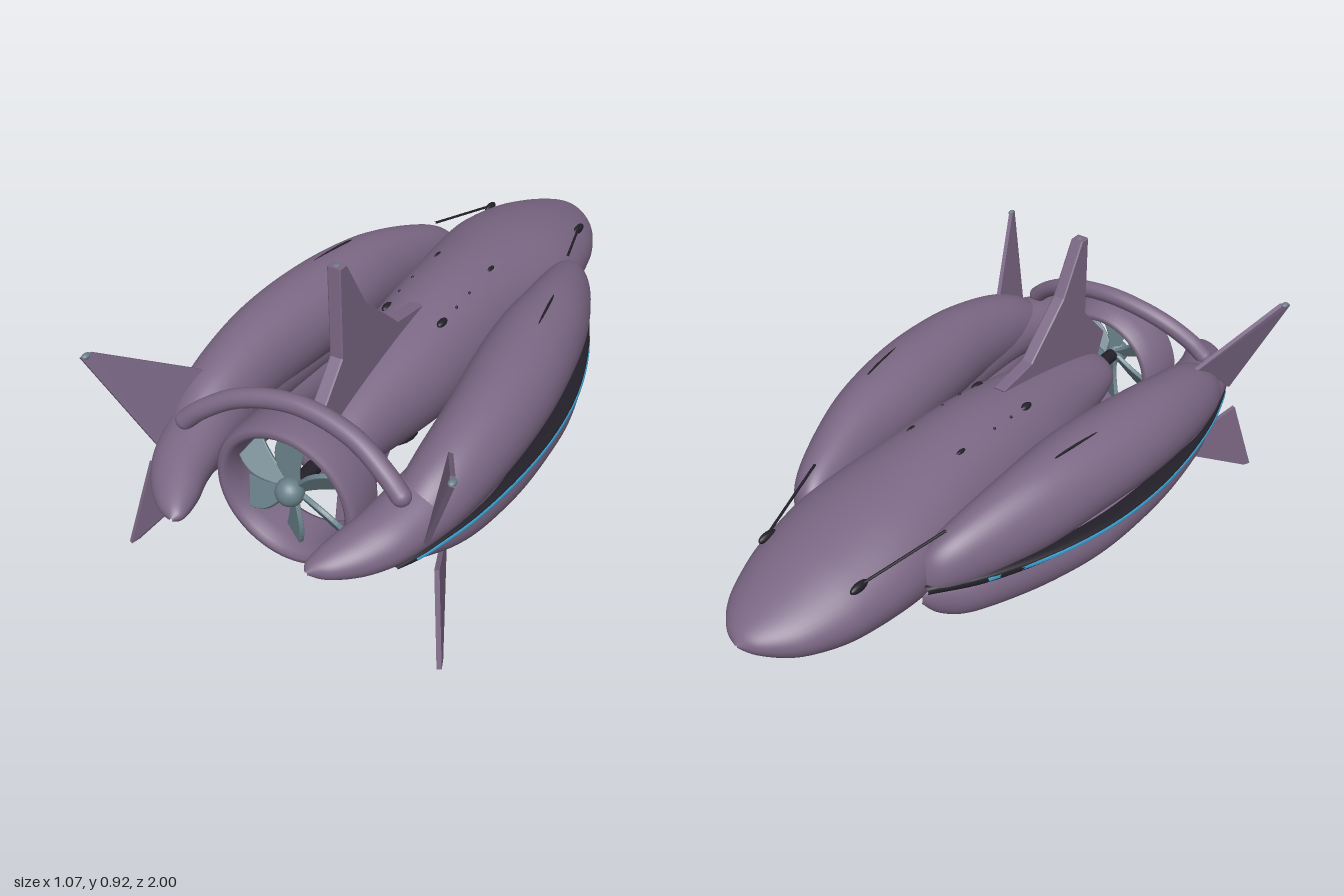
import * as THREE from 'three';
import { ConvexGeometry } from 'three/addons/geometries/ConvexGeometry.js';

const mat = (name, color) => {
  const m = new THREE.MeshStandardMaterial({ color });
  m.name = name;
  return m;
};
const V = (x, y, z) => new THREE.Vector3(x, y, z);

// Smooth body through sections [z, centreX, centreY, radiusX, radiusY]; power below 1 squares them off
function loft(sections, rings = 64, sides = 40, power = 1) {
  const mid = new THREE.CatmullRomCurve3(sections.map(s => V(s[1], s[2], s[0])));
  const rad = new THREE.CatmullRomCurve3(sections.map(s => V(s[3], s[4], s[0])));
  mid.curveType = rad.curveType = 'catmullrom';
  const bend = v => Math.sign(v) * Math.abs(v) ** power;
  const pos = [], index = [];
  for (let i = 0; i <= rings; i++) {
    const c = mid.getPoint(i / rings), r = rad.getPoint(i / rings);
    for (let j = 0; j < sides; j++) {
      const a = j / sides * Math.PI * 2;
      pos.push(c.x + Math.max(r.x, 0.001) * bend(Math.cos(a)), c.y + Math.max(r.y, 0.001) * bend(Math.sin(a)), c.z);
      if (i === rings) continue;
      const k = (j + 1) % sides, p = i * sides, q = p + sides;
      index.push(p + j, p + k, q + j, p + k, q + k, q + j);
    }
  }
  const g = new THREE.BufferGeometry();
  g.setAttribute('position', new THREE.Float32BufferAttribute(pos, 3));
  g.setIndex(index);
  g.computeVertexNormals();
  return g;
}

// Flat plate through coplanar corners, with thickness
function plate(corners, t) {
  const n = corners[1].clone().sub(corners[0]).cross(corners[2].clone().sub(corners[0])).setLength(t / 2);
  return new ConvexGeometry(corners.flatMap(c => [c.clone().add(n), c.clone().sub(n)]));
}

export function createModel() {
  const root = new THREE.Group();
  const skin = mat('mauve skin', 0x7b6784);
  const steel = mat('grey steel', 0x687f88);
  const dark = mat('dark trim', 0x221f28);
  const glass = mat('blue glass', 0x3a9fd0);
  const add = (name, geo, m) => {
    const mesh = new THREE.Mesh(geo, m);
    mesh.name = name;
    root.add(mesh);
    return mesh;
  };
  const blob = (name, m, x, y, z, rx, ry, rz) => {
    const b = add(name, new THREE.SphereGeometry(1, 20, 14), m);
    b.position.set(x, y, z);
    b.scale.set(rx, ry, rz);
    return b;
  };

  // Central hull: z, half width, top, bottom
  const hull = [
    [-1, 0.003, 0.403, 0.397], [-0.97, 0.066, 0.434, 0.362], [-0.9, 0.135, 0.466, 0.317],
    [-0.8, 0.185, 0.502, 0.28], [-0.7, 0.213, 0.532, 0.26], [-0.55, 0.232, 0.564, 0.242],
    [-0.4, 0.225, 0.583, 0.225], [-0.2, 0.2, 0.597, 0.215], [0, 0.185, 0.595, 0.217],
    [0.2, 0.165, 0.57, 0.235], [0.4, 0.128, 0.53, 0.265], [0.55, 0.103, 0.49, 0.3],
    [0.62, 0.08, 0.455, 0.33], [0.65, 0.04, 0.42, 0.36], [0.655, 0.003, 0.392, 0.388]];
  add('hull', loft(hull.map(([z, w, t, b]) => [z, 0, (t + b) / 2, w, (t - b) / 2]), 90, 48), skin);

  // Side pods made of three merged lobes
  const lobes = {
    upperLobe: [[-0.54, 0.21, 0.39, 0.005, 0.015], [-0.5, 0.23, 0.42, 0.05, 0.065], [-0.4, 0.26, 0.44, 0.08, 0.1],
      [-0.2, 0.305, 0.465, 0.11, 0.13], [0, 0.33, 0.48, 0.13, 0.135], [0.2, 0.352, 0.478, 0.132, 0.135],
      [0.4, 0.365, 0.465, 0.118, 0.13], [0.6, 0.36, 0.44, 0.1, 0.11], [0.72, 0.345, 0.41, 0.075, 0.08],
      [0.82, 0.33, 0.38, 0.02, 0.02]],
    lowerLobe: [[-0.53, 0.21, 0.33, 0.005, 0.015], [-0.48, 0.225, 0.315, 0.045, 0.06], [-0.4, 0.255, 0.31, 0.075, 0.085],
      [-0.2, 0.305, 0.31, 0.105, 0.11], [0, 0.335, 0.305, 0.125, 0.115], [0.2, 0.352, 0.305, 0.122, 0.115],
      [0.4, 0.36, 0.31, 0.11, 0.105], [0.6, 0.355, 0.325, 0.09, 0.085], [0.75, 0.34, 0.345, 0.05, 0.05],
      [0.84, 0.33, 0.36, 0.01, 0.01]],
    tailLobe: [[-0.5, 0.22, 0.38, 0.015, 0.02], [-0.25, 0.28, 0.383, 0.07, 0.05], [0, 0.32, 0.385, 0.09, 0.07],
      [0.4, 0.355, 0.4, 0.1, 0.1], [0.6, 0.35, 0.41, 0.1, 0.1], [0.8, 0.31, 0.4, 0.09, 0.072],
      [0.9, 0.267, 0.39, 0.077, 0.053], [0.97, 0.225, 0.385, 0.045, 0.028], [1, 0.2, 0.385, 0.004, 0.004]],
  };
  // Outer edge of the window gallery: z, x, y, half height
  const edge = [[-0.54, 0.245, 0.38, 0.016], [-0.4, 0.338, 0.376, 0.018], [-0.2, 0.422, 0.37, 0.017],
    [0, 0.474, 0.366, 0.016], [0.2, 0.494, 0.363, 0.016], [0.4, 0.487, 0.361, 0.016], [0.6, 0.458, 0.36, 0.015],
    [0.75, 0.417, 0.36, 0.013], [0.81, 0.395, 0.36, 0.011], [0.86, 0.37, 0.36, 0.006]];

  for (const s of [1, -1]) {
    const side = s > 0 ? 'left' : 'right';
    const flip = list => list.map(([z, x, ...r]) => [z, x * s, ...r]);
    for (const [name, list] of Object.entries(lobes)) add(side + name, loft(flip(list)), skin);

    // Window gallery: dark frame and blue glazing
    add(side + 'GalleryFrame', loft(flip(edge.map(([z, x, y, h]) => [z, x - 0.042, y, 0.042, h])), 64, 24, 0.7), dark);
    add(side + 'GalleryGlass', loft(flip(edge.slice(1, 9).map(([z, x, y, h]) =>
      [z, x - 0.037, y, 0.039, h * 0.5])), 64, 24, 0.4), glass);

    // Diagonal tail fins with tip lamps
    add(side + 'UpperFin', plate([V(s * 0.36, 0.52, 0.57), V(s * 0.41, 0.4, 0.79),
      V(s * 0.53, 0.70, 0.89), V(s * 0.517, 0.705, 0.86)], 0.013), skin);
    add(side + 'LowerFin', plate([V(s * 0.345, 0.235, 0.57), V(s * 0.44, 0.33, 0.79),
      V(s * 0.487, 0.08, 0.865), V(s * 0.478, 0.083, 0.84)], 0.013), skin);
    blob(side + 'FinLamp', steel, s * 0.524, 0.7, 0.875, 0.01, 0.008, 0.014);

    // Mooring cable and its anchor
    add(side + 'Cable', new THREE.TubeGeometry(new THREE.LineCurve3(
      V(s * 0.162, 0.488, -0.72), V(s * 0.235, 0.53, -0.45)), 4, 0.004, 8), dark);
    blob(side + 'CableAnchor', dark, s * 0.163, 0.484, -0.715, 0.012, 0.014, 0.032);

    // Roof vents and belly domes
    blob(side + 'PodVent', dark, s * 0.355, 0.608, -0.01, 0.004, 0.008, 0.095).rotation.y = s * 0.165;
    blob(side + 'FrontHatch', dark, s * 0.09, 0.574, -0.2, 0.007, 0.007, 0.019);
    blob(side + 'RearHatch', dark, s * 0.09, 0.557, 0.11, 0.012, 0.01, 0.024);
    for (const [z, y] of [[-0.05, 0.571], [0.03, 0.566]]) blob(side + 'RoofPort', dark, s * 0.095, y, z, 0.004, 0.005, 0.005);
    blob(side + 'BellyDome', steel, s * 0.093, 0.264, -0.63, 0.04, 0.026, 0.042);
  }

  // Vertical fins, outlined as [z, y]
  const verticalFin = (name, outline, t) => {
    const shape = new THREE.Shape(outline.map(([z, y]) => new THREE.Vector2(-z, y)));
    const g = new THREE.ExtrudeGeometry(shape, { depth: t - 0.008, bevelThickness: 0.004, bevelSize: 0.003, bevelSegments: 1 });
    g.translate(0, 0, -(t - 0.008) / 2);
    g.rotateY(Math.PI / 2);
    add(name, g, skin);
  };
  verticalFin('topFin', [[0.1, 0.587], [0.24, 0.61], [0.4, 0.76], [0.487, 0.917], [0.515, 0.917],
    [0.522, 0.655], [0.64, 0.53], [0.6, 0.42], [0.2, 0.42]], 0.04);
  verticalFin('bottomFin', [[0.18, 0.3], [0.29, 0.2], [0.537, 0.003], [0.562, 0.003], [0.522, 0.19], [0.58, 0.36], [0.2, 0.36]], 0.038);
  blob('topFinLamp', steel, 0, 0.914, 0.501, 0.012, 0.008, 0.014);
  blob('bellyTurntable', dark, 0, 0.251, 0.27, 0.085, 0.018, 0.1).rotation.x = -0.17;

  // Propeller duct
  const duct = add('propellerDuct', new THREE.LatheGeometry(
    [[0.168, 0.66], [0.168, 0.75], [0.178, 0.79], [0.19, 0.8], [0.205, 0.797], [0.215, 0.785],
      [0.216, 0.69], [0.19, 0.65], [0.172, 0.65], [0.168, 0.66]].map(([r, z]) => new THREE.Vector2(r, -z)), 64), skin);
  duct.geometry.rotateX(-Math.PI / 2);
  duct.position.y = 0.383;

  // Arched brace over the duct
  add('ductBrace', new THREE.TubeGeometry(new THREE.CatmullRomCurve3([
    V(-0.325, 0.495, 0.76), V(-0.28, 0.535, 0.75), V(-0.17, 0.595, 0.725), V(0, 0.625, 0.712),
    V(0.17, 0.595, 0.725), V(0.28, 0.535, 0.75), V(0.325, 0.495, 0.76)]), 48, 0.027, 16), skin);
  for (const s of [1, -1]) blob('braceEnd', skin, s * 0.325, 0.495, 0.76, 0.027, 0.027, 0.027);

  // Propeller: shaft, hub and six swept blades
  const shaft = add('propellerShaft', new THREE.CylinderGeometry(0.022, 0.022, 0.16, 20).rotateX(Math.PI / 2), dark);
  shaft.position.set(0, 0.385, 0.69);
  blob('propellerHub', steel, 0, 0.385, 0.768, 0.04, 0.04, 0.038);
  const blade = new THREE.Shape();
  blade.moveTo(-0.014, 0.02);
  blade.bezierCurveTo(-0.025, 0.06, -0.06, 0.1, -0.028, 0.161);
  blade.lineTo(0.05, 0.156);
  blade.bezierCurveTo(0.03, 0.12, 0.008, 0.07, 0.014, 0.02);
  const bladeGeo = new THREE.ExtrudeGeometry(blade, { depth: 0.008, bevelThickness: 0.003, bevelSize: 0.003, bevelSegments: 2 });
  bladeGeo.rotateY(0.6);
  for (let i = 0; i < 6; i++) {
    const b = add('propellerBlade', bladeGeo, steel);
    b.position.set(0, 0.385, 0.745);
    b.rotation.z = i * Math.PI / 3;
  }
  return root;
}
